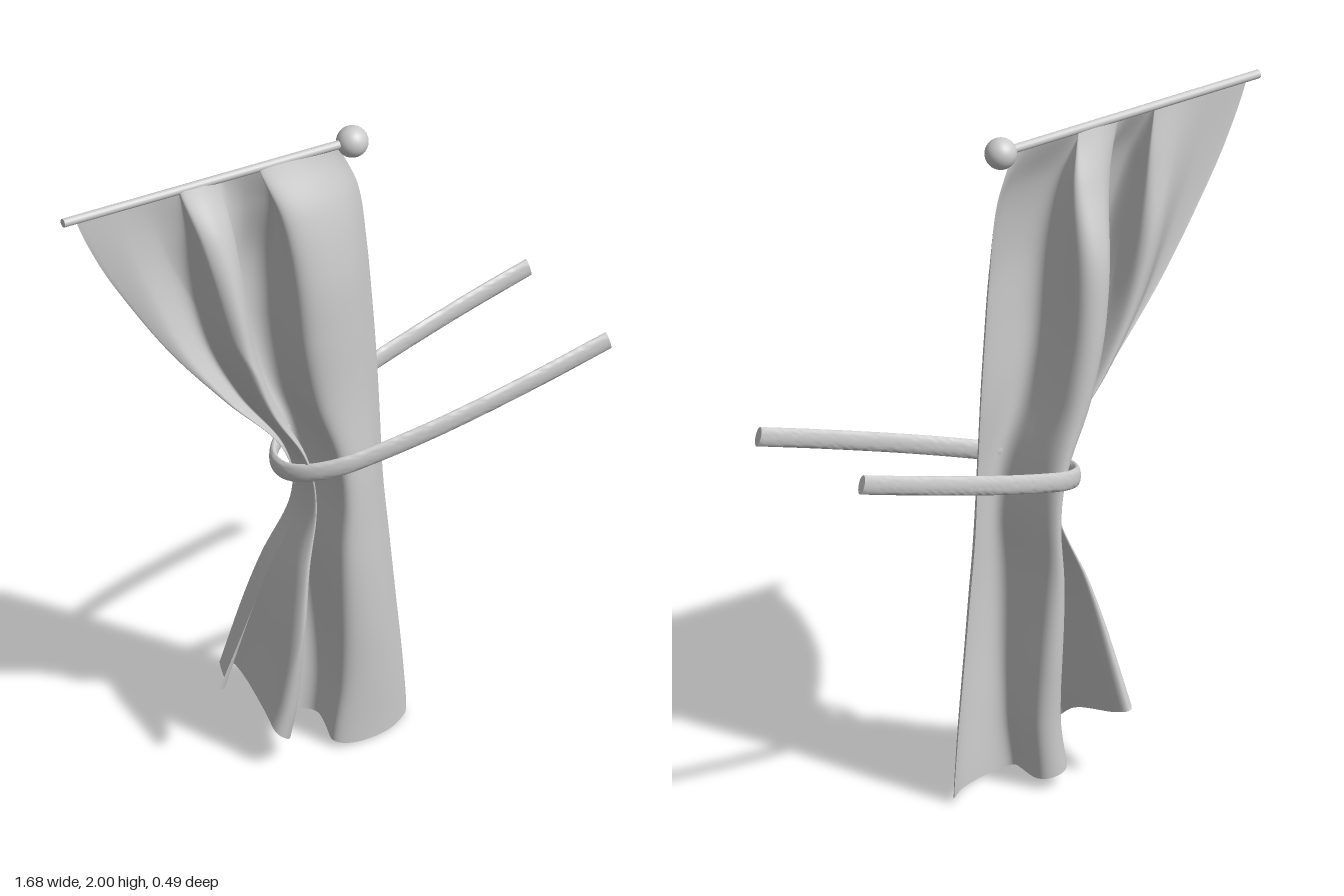
import * as THREE from 'three';
import { toCreasedNormals } from 'three/addons/utils/BufferGeometryUtils.js';

const MID_Z = 0.02;
const TOP_Y = 1.957;

// Values at heights 0, 0.2 ... 2.0: cloth outline, depth to front and back, fold gathering
const LEFT = [-0.42, -0.35, -0.26, -0.17, -0.08, -0.12, -0.30, -0.47, -0.61, -0.73, -0.81];
const RIGHT = [0.30, 0.285, 0.265, 0.245, 0.225, 0.215, 0.205, 0.19, 0.17, 0.135, 0.05];
const FRONT = [0.08, 0.09, 0.105, 0.115, 0.115, 0.115, 0.115, 0.12, 0.115, 0.08, 0];
const BACK = [0.11, 0.11, 0.12, 0.125, 0.13, 0.13, 0.135, 0.135, 0.12, 0.06, 0];
const GATHER = [1, 1, 1.2, 1.6, 2.2, 2.2, 1.6, 1.2, 0.95, 0.8, 0.7];

// Path of the single folded sheet from left edge to right edge:
// share of width, share of depth (front +, back -), hem height, backward swing of the flap
const FOLDS = [
  [0, 0.1, 0.255, 0], [0.08, 0.05, 0.24, 0.25], [0.2, -0.45, 0.22, 1], [0.27, -0.3, 0.205, 0.9],
  [0.265, 0.5, 0.16, 0.2], [0.28, 1, 0.12, 0], [0.34, 1.1, 0.09, 0], [0.41, 0.5, 0.06, 0],
  [0.45, -0.4, 0.055, 0], [0.52, -1, 0.045, 0], [0.6, -1.05, 0.035, 0], [0.64, -0.7, 0.03, 0],
  [0.61, 0.2, 0.025, 0], [0.6, 0.75, 0.02, 0], [0.65, 1, 0.01, 0], [0.75, 0.97, 0.003, 0],
  [0.87, 0.65, 0, 0], [0.97, 0.05, 0.002, 0], [1, -0.2, 0.02, 0],
];
const [ACROSS, DEPTH, HEM, SWING] = [0, 1, 2, 3].map((c) => FOLDS.map((row) => row[c]));

// Smooth lookup in a table of evenly spaced values, p counted in table steps
function sample(table, p) {
  const i = THREE.MathUtils.clamp(Math.floor(p), 0, table.length - 2);
  const t = p - i;
  const g = (k) => table[THREE.MathUtils.clamp(k, 0, table.length - 1)];
  const [a, b, c, d] = [g(i - 1), g(i), g(i + 1), g(i + 2)];
  return b + 0.5 * t * (c - a + t * (2 * a - 5 * b + 4 * c - d + t * (3 * (b - c) + d - a)));
}

// Grid surface from a rule (u, v) -> point
function surface(rule, nu, nv) {
  const pos = [];
  const index = [];
  for (let i = 0; i <= nu; i++) {
    for (let j = 0; j <= nv; j++) {
      pos.push(...rule(i / nu, j / nv));
      if (i === nu || j === nv) continue;
      const a = i * (nv + 1) + j;
      const b = a + nv + 1;
      index.push(a, b, a + 1, b, b + 1, a + 1);
    }
  }
  const geo = new THREE.BufferGeometry();
  geo.setAttribute('position', new THREE.Float32BufferAttribute(pos, 3));
  geo.setIndex(index);
  geo.computeVertexNormals();
  return geo;
}

function clothPoint(along, down) {
  const p = along * (FOLDS.length - 1);
  const y = THREE.MathUtils.lerp(TOP_Y, Math.max(0, sample(HEM, p)), down);
  const row = y / 0.2;
  const f = Math.pow(Math.max(0, sample(ACROSS, p)), sample(GATHER, row));
  const x = THREE.MathUtils.lerp(sample(LEFT, row), sample(RIGHT, row), f);
  const fold = sample(DEPTH, p);
  const depth = sample(fold > 0 ? FRONT : BACK, row) * fold * Math.min(1, 2 * Math.sqrt(f));
  const drop = THREE.MathUtils.clamp((0.9 - y) / 0.7, 0, 1);
  return [x, y, MID_Z + depth - 0.15 * drop * sample(SWING, p)];
}

export function createModel() {
  const model = new THREE.Group();
  const grey = new THREE.MeshStandardMaterial({ color: 0xcccccc });
  const cloth = new THREE.MeshStandardMaterial({ color: 0xcccccc, side: THREE.DoubleSide });
  const add = (name, geo, material = grey) => {
    const mesh = new THREE.Mesh(geo, material);
    mesh.name = name;
    model.add(mesh);
    return mesh;
  };

  // Draped cloth, one thin sheet in deep folds
  add('curtain', surface((u, v) => clothPoint(1 - u, v), 270, 80), cloth);

  // Rod with a ball at its end
  const rod = add('rod', new THREE.CylinderGeometry(0.013, 0.013, 0.95, 20));
  rod.rotation.z = Math.PI / 2;
  rod.position.set(-0.365, TOP_Y, MID_Z);
  const ball = add('finial', new THREE.SphereGeometry(0.047, 32, 20));
  ball.position.set(0.11, 1.955, MID_Z);

  // Tieback: flat oval band looped round the waist, rising to the right
  const half = [[0.83, 0.235], [0.6, 0.228], [0.3, 0.203], [0.1, 0.168], [0, 0.14], [-0.08, 0.09], [-0.115, 0.04]];
  const loop = [...half, [-0.122, 0], ...half.map(([x, z]) => [x, -z]).reverse()];
  const path = new THREE.CatmullRomCurve3(
    loop.map(([x, z]) => new THREE.Vector3(x, 0.93 + (x + 0.12) * 0.28, z)));
  const steps = 120;
  const up = new THREE.Vector3(0, 1, 0);
  const band = surface((u, v) => {
    const i = Math.round(u * steps);
    const k = THREE.MathUtils.clamp((i - 1) / (steps - 2), 0, 1);
    const size = i === 0 || i === steps ? 0 : 1;
    const tangent = path.getTangentAt(k);
    const side = new THREE.Vector3().crossVectors(tangent, up).normalize();
    const rise = new THREE.Vector3().crossVectors(side, tangent).normalize();
    const a = v * Math.PI * 2;
    return path.getPointAt(k)
      .addScaledVector(side, 0.012 * size * Math.cos(a))
      .addScaledVector(rise, 0.029 * size * Math.sin(a)).toArray();
  }, steps, 20);
  add('tieback', toCreasedNormals(band, 0.9));

  return model;
}
